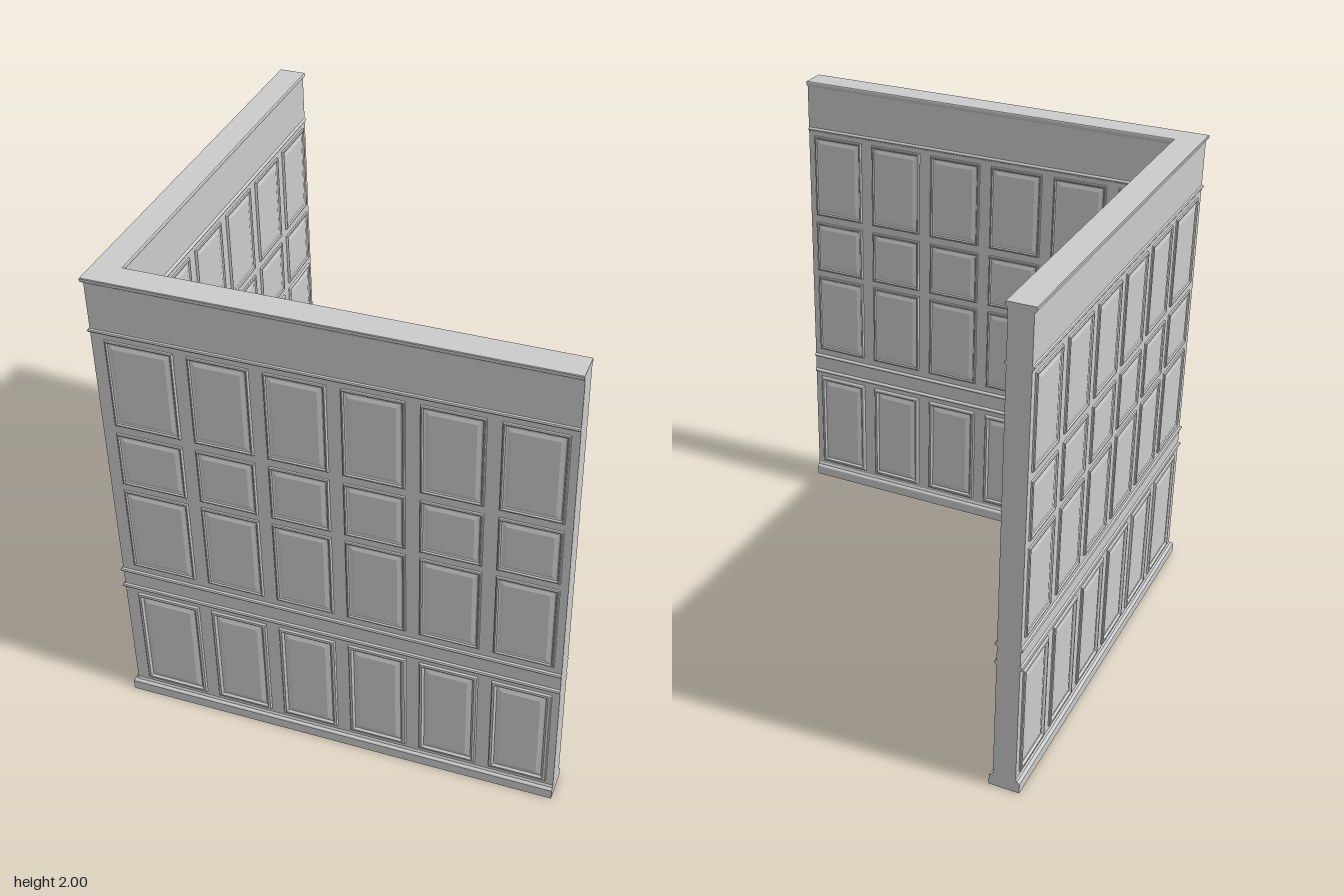
import * as THREE from 'three';

const material = new THREE.MeshStandardMaterial({ color: 0xcccccc, flatShading: true });
const MID = 0.835;   // centre line of both walls
const END = 0.897;   // free ends of the walls
const HALF = 0.046;  // half thickness of the plain wall

function meshFrom(name, positions) {
  const geometry = new THREE.BufferGeometry();
  geometry.setAttribute('position', new THREE.Float32BufferAttribute(positions, 3));
  geometry.computeVertexNormals();
  const mesh = new THREE.Mesh(geometry, material);
  mesh.name = name;
  return mesh;
}

// Sweep a symmetric section, given as [half thickness, y] going up, round the mitred corner.
function sweep(name, half) {
  const section = [...half, ...half.map(([o, y]) => [-o, y]).reverse()];
  const stations = [
    ([o, y]) => [END, y, MID + o],
    ([o, y]) => [-MID - o, y, MID + o],
    ([o, y]) => [-MID - o, y, -END],
  ];
  const out = [];
  for (let s = 0; s < 2; s++) {
    section.forEach((p, i) => {
      const q = section[(i + 1) % section.length];
      const a = stations[s](p), b = stations[s + 1](p), c = stations[s + 1](q), d = stations[s](q);
      out.push(...a, ...d, ...c, ...a, ...c, ...b);
    });
  }
  // end caps
  const flat = section.map(([o, y]) => new THREE.Vector2(o, y));
  for (const [i, j, k] of THREE.ShapeUtils.triangulateShape(flat, [])) {
    for (const n of [i, k, j]) out.push(...stations[0](section[n]));
    for (const n of [i, j, k]) out.push(...stations[2](section[n]));
  }
  return meshFrom(name, out);
}

// A moulded panel from nested rectangles, each [inset, height off the wall].
function panel(name, w, h, steps) {
  const rings = steps.map(([inset, z]) => {
    const x = w / 2 - inset, y = h / 2 - inset;
    return [[-x, -y, z], [x, -y, z], [x, y, z], [-x, y, z]];
  });
  const out = [];
  const quad = (a, b, c, d) => out.push(...a, ...b, ...c, ...a, ...c, ...d);
  for (let r = 0; r < rings.length - 1; r++) {
    for (let i = 0; i < 4; i++) {
      const j = (i + 1) % 4;
      quad(rings[r][i], rings[r][j], rings[r + 1][j], rings[r + 1][i]);
    }
  }
  quad(...rings[rings.length - 1]);
  return meshFrom(name, out);
}

const upperSteps = [[0, 0], [0.001, 0.006], [0.004, 0.009], [0.008, 0.009], [0.012, 0.004],
  [0.018, 0.003], [0.032, 0.007], [0.034, 0.007]];
const lowerSteps = [[0, 0], [0.001, 0.005], [0.004, 0.008], [0.013, 0.009], [0.016, 0.007],
  [0.021, 0.001], [0.025, 0.001], [0.042, 0.006], [0.044, 0.006]];

const rows = [
  { name: 'lowerPanel', y0: 0.077, y1: 0.546, steps: lowerSteps },
  { name: 'middlePanel', y0: 0.695, y1: 1.072, steps: upperSteps },
  { name: 'smallPanel', y0: 1.103, y1: 1.342, steps: upperSteps },
  { name: 'upperPanel', y0: 1.377, y1: 1.753, steps: upperSteps },
];

// One face of panels; the column next to the corner is wider on the outside.
function panelFace(name, inside) {
  const face = new THREE.Group();
  face.name = name;
  for (let col = 0; col < 6; col++) {
    const x1 = -0.563 + col * 0.2862;
    const x0 = col > 0 ? x1 - 0.233 : inside ? -0.788 : -0.828;
    for (const { name: part, y0, y1, steps } of rows) {
      const mesh = panel(part, x1 - x0, y1 - y0, steps);
      const side = inside ? -1 : 1;
      mesh.position.set((x0 + x1) / 2, (y0 + y1) / 2, MID + side * HALF);
      if (inside) mesh.rotation.y = Math.PI;
      face.add(mesh);
    }
  }
  return face;
}

// A small rounded moulding between two heights.
const bead = (y0, y1, out) => [[HALF, y0], [HALF + out * 0.7, y0 + (y1 - y0) * 0.2],
  [HALF + out, y0 + (y1 - y0) * 0.5], [HALF + out * 0.7, y0 + (y1 - y0) * 0.8], [HALF, y1]];
const plain = (y0, y1) => [[HALF, y0], [HALF, y1]];

export function createModel() {
  const model = new THREE.Group();
  model.name = 'panelledCornerWall';

  // walls and running mouldings, from the floor up
  model.add(
    sweep('baseboard', [[0.062, 0], [0.062, 0.042], [0.058, 0.047], [0.051, 0.05], [0.049, 0.056], [HALF, 0.06]]),
    sweep('lowerWall', plain(0.06, 0.564)),
    sweep('lowerRailMoulding', bead(0.564, 0.584, 0.01)),
    sweep('railBand', plain(0.584, 0.646)),
    sweep('upperRailMoulding', bead(0.646, 0.665, 0.01)),
    sweep('upperWall', plain(0.665, 1.774)),
    sweep('friezeMoulding', bead(1.774, 1.79, 0.008)),
    sweep('frieze', plain(1.79, 1.974)),
    sweep('topMoulding', [[HALF, 1.974], [0.049, 1.98], [0.054, 1.984], [0.056, 1.99], [0.056, 1.997], [0.054, 2]]),
  );

  // panels on both faces of both walls
  for (const inside of [false, true]) {
    const label = inside ? 'InnerPanels' : 'OuterPanels';
    model.add(panelFace('front' + label, inside));

    // a quarter turn puts the face on the side wall, with its columns running back from the corner
    const sideFace = panelFace('side' + label, inside);
    for (const mesh of sideFace.children) {
      const { x, y, z } = mesh.position;
      mesh.position.set(-z, y, -x);
      mesh.rotation.y = inside ? Math.PI / 2 : -Math.PI / 2;
    }
    model.add(sideFace);
  }
  return model;
}
